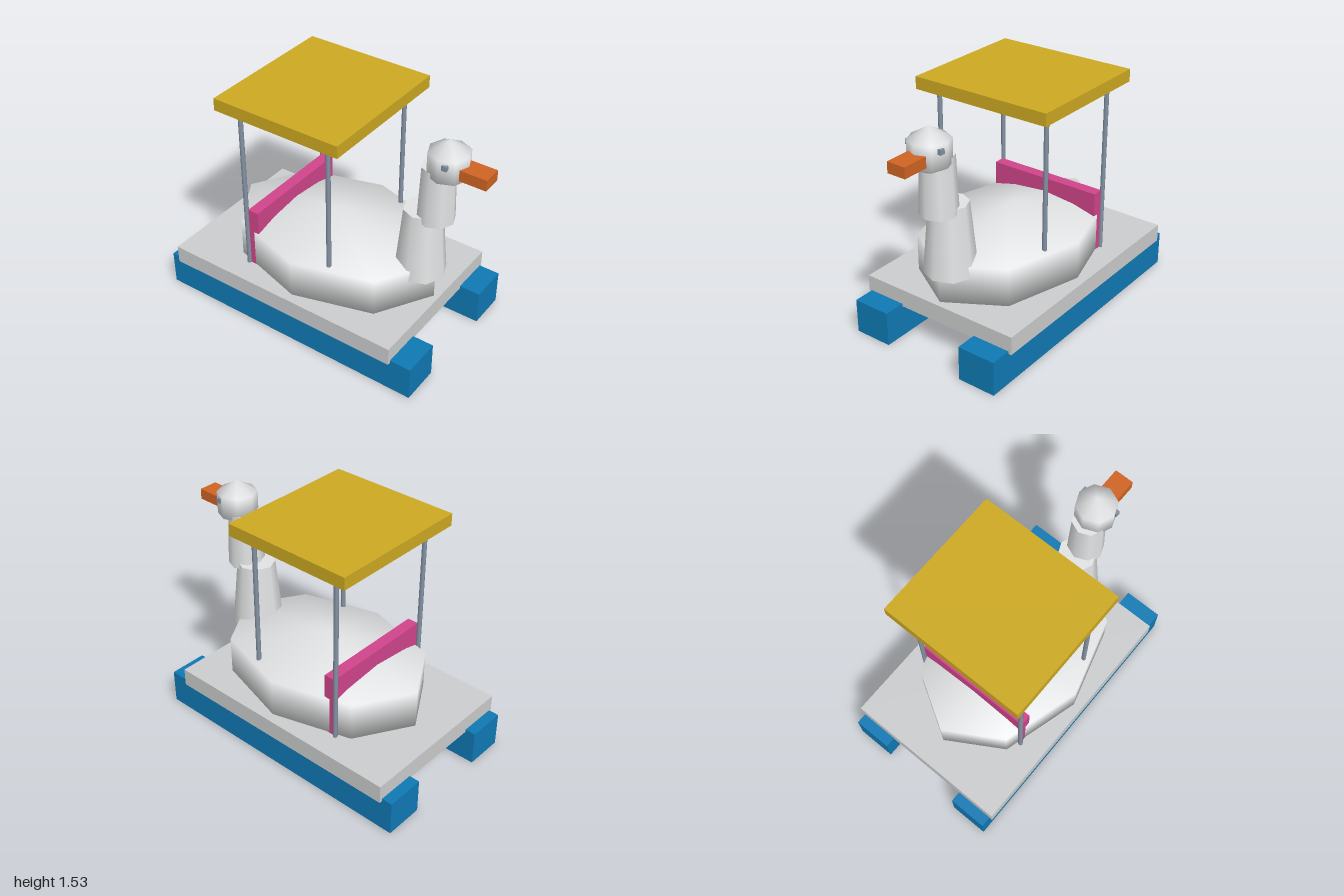
import * as THREE from 'three';

const material = (name, color) => {
  const m = new THREE.MeshStandardMaterial({ color });
  m.name = name;
  return m;
};

export function createModel() {
  const group = new THREE.Group();
  const white = material('swan white', 0xe2e3e4);
  const grey = material('deck grey', 0xcccdce);
  const blue = material('float blue', 0x0f7ab5);
  const yellow = material('canopy yellow', 0xcda922);
  const pink = material('seat pink', 0xd0458b);
  const orange = material('beak orange', 0xd06424);
  const slate = material('slate', 0x8593a4);

  const add = (name, geometry, mat, x, y, z) => {
    const mesh = new THREE.Mesh(geometry, mat);
    mesh.name = name;
    mesh.position.set(x, y, z);
    group.add(mesh);
    return mesh;
  };
  // Box given by its extents on each axis
  const box = (name, mat, [x0, x1], [y0, y1], [z0, z1]) =>
    add(name, new THREE.BoxGeometry(x1 - x0, y1 - y0, z1 - z0), mat,
      (x0 + x1) / 2, (y0 + y1) / 2, (z0 + z1) / 2);
  // Upright tapered cylinder from y0 to y1
  const column = (name, mat, rTop, rBottom, y0, y1, x, z) =>
    add(name, new THREE.CylinderGeometry(rTop, rBottom, y1 - y0, 8), mat, x, (y0 + y1) / 2, z);

  // Hull
  box('deck', grey, [-0.555, 0.555], [0.21, 0.33], [-0.93, 0.72]);

  // Swan: coarse, smooth-shaded body, neck and head
  const body = new THREE.SphereGeometry(1, 8, 3).scale(0.577, 0.25, 0.83);
  add('body', body, white, 0, 0.46, -0.03);
  column('lowerNeck', white, 0.122, 0.165, 0.51, 0.965, 0, 0.58);
  column('upperNeck', white, 0.104, 0.118, 0.93, 1.295, 0, 0.667);
  add('head', new THREE.SphereGeometry(0.148, 8, 3), white, 0, 1.342, 0.727);
  box('beak', orange, [-0.063, 0.063], [1.29, 1.36], [0.77, 1.0]);

  // Seat and canopy
  box('seatBack', pink, [-0.393, 0.393], [0.33, 0.745], [-0.438, -0.363]);
  box('canopy', yellow, [-0.475, 0.475], [1.455, 1.535], [-0.575, 0.3]);

  // Mirrored parts
  for (const [side, s] of [['left', 1], ['right', -1]]) {
    const span = (a, b) => (s > 0 ? [a, b] : [-b, -a]);
    box(side + 'Float', blue, span(0.28, 0.535), [0, 0.228], [-1, 0.86]);
    box(side + 'Eye', slate, span(0.098, 0.129), [1.365, 1.397], [0.75, 0.782]);
    column(side + 'FrontPost', slate, 0.015, 0.015, 0.33, 1.46, s * 0.395, 0.18);
    column(side + 'RearPost', slate, 0.015, 0.015, 0.33, 1.46, s * 0.395, -0.45);
  }
  return group;
}
